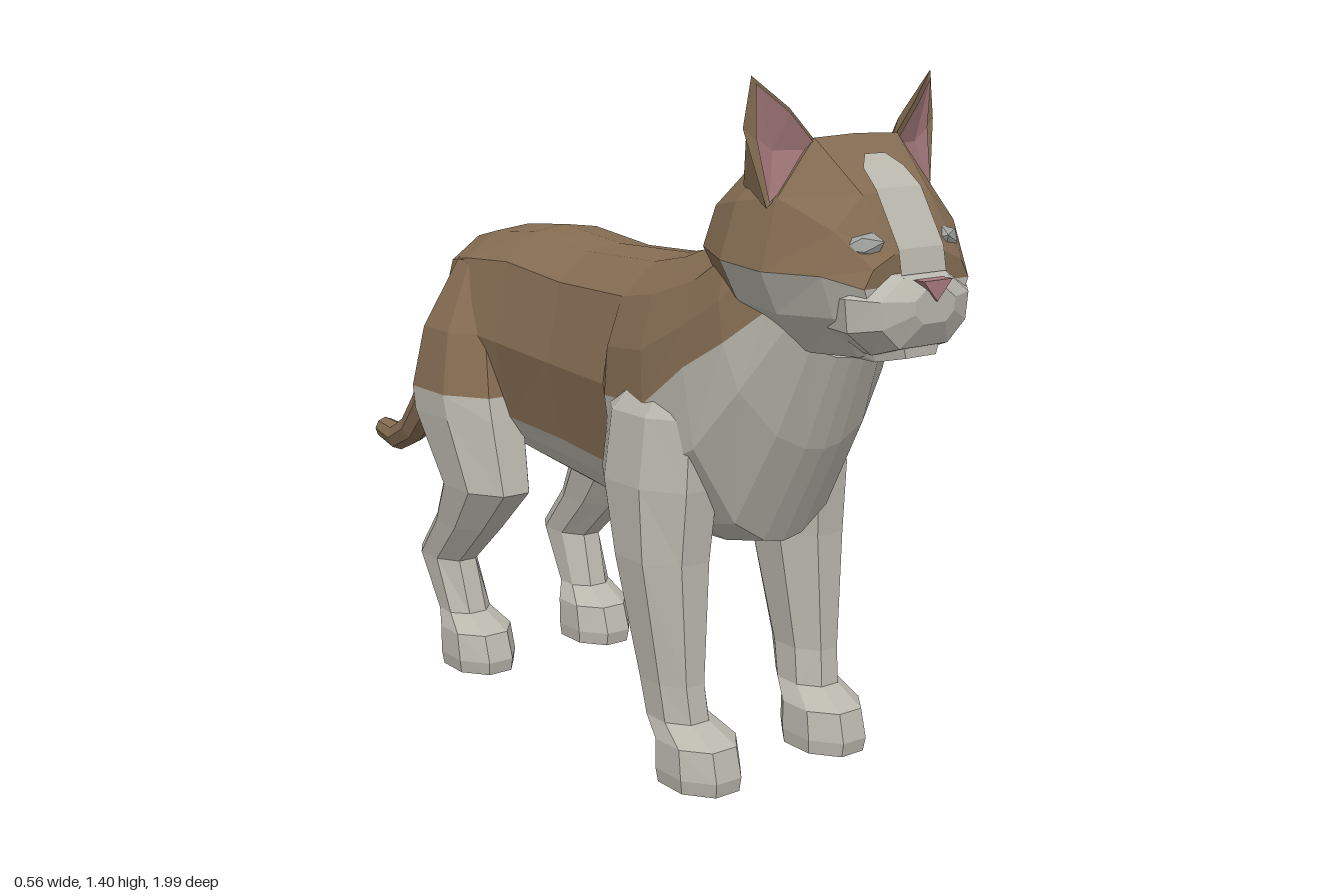
import * as THREE from 'three';

const paint = (name, color) => {
  const m = new THREE.MeshStandardMaterial({ color });
  m.name = name;
  return m;
};
const V = (x, y, z) => new THREE.Vector3(x, y, z);

// Flat-shaded mesh from a list of [a, b, c] triangles
function facetMesh(name, tris, material) {
  const g = new THREE.BufferGeometry().setFromPoints(tris.flat());
  g.computeVertexNormals();
  const mesh = new THREE.Mesh(g, material);
  mesh.name = name;
  return mesh;
}

// Turns a closed set of coloured triangles outward and makes one mesh per colour
function solid(name, faces) {
  const volume = faces.reduce((s, f) => s + f.t[0].dot(f.t[1].clone().cross(f.t[2])), 0);
  const group = new THREE.Group();
  group.name = name;
  for (const mat of new Set(faces.map(f => f.m))) {
    const tris = faces.filter(f => f.m === mat)
      .map(f => volume < 0 ? [f.t[0], f.t[2], f.t[1]] : f.t);
    group.add(facetMesh(name + ' ' + mat.name, tris, mat));
  }
  return group;
}

// Skins cross-sections and closes both ends; colour(i, j) picks each facet's material
function loft(name, rings, colour, k = Math.floor(rings[0].length / 4)) {
  const n = rings[0].length, faces = [];
  for (let i = 0; i < rings.length - 1; i++) for (let j = 0; j < n; j++) {
    const q = (j + 1) % n, m = colour(i, j);
    const [a, b, c, d] = [rings[i][j], rings[i][q], rings[i + 1][q], rings[i + 1][j]];
    faces.push({ t: [a, b, c], m }, { t: [a, c, d], m });
  }
  for (const e of [0, rings.length - 1]) {
    const r = rings[e], mid = r[k].clone().lerp(r[n - k], 0.5);
    for (let j = 0; j < n; j++) {
      const q = (j + 1) % n;
      faces.push({ t: e ? [mid, r[j], r[q]] : [mid, r[q], r[j]], m: colour(e ? e - 1 : 0, j) });
    }
  }
  return solid(name, faces);
}

// Completes a half outline that runs from the top centre to the bottom centre
const mirrorRing = half => [...half, ...half.slice(1, -1).reverse().map(p => V(-p.x, p.y, p.z))];

// Octagonal level section: [y, zFront, zBack, xInner, xOuter]
function legRing([y, z1, z0, x0, x1], side) {
  return Array.from({ length: 8 }, (_, j) => {
    const a = (j + 0.5) * Math.PI / 4, k = 1 / Math.cos(Math.PI / 8);
    return V(side * ((x0 + x1) / 2 + Math.cos(a) * k * (x1 - x0) / 2), y,
      (z0 + z1) / 2 + Math.sin(a) * k * (z1 - z0) / 2);
  });
}

export function createModel() {
  const brown = paint('brown fur', 0x846c52), white = paint('white fur', 0xbab7ad);
  const pink = paint('inner ear pink', 0x9e7476), nosePink = paint('nose pink', 0xa87a7c);
  const eyeGrey = paint('eye grey', 0x9fa29e);
  const cat = new THREE.Group();
  cat.name = 'cat';

  // Torso and neck: [topZ, topY, bottomZ, bottomY, halfWidth, colourLineY]
  const torso = [
    [-0.445, 0.93, -0.44, 0.56, 0.14, 0.62], [-0.38, 1.0, -0.38, 0.54, 0.19, 0.65],
    [-0.29, 1.022, -0.28, 0.52, 0.215, 0.655], [-0.14, 1.036, -0.1, 0.49, 0.205, 0.62],
    [0.06, 1.015, 0.1, 0.468, 0.2, 0.61], [0.295, 1.022, 0.3, 0.445, 0.215, 0.595],
    [0.3, 1.022, 0.305, 0.445, 0.215, 0.75], [0.41, 1.045, 0.5, 0.455, 0.235, 0.76],
    [0.53, 1.09, 0.61, 0.48, 0.222, 0.85], [0.6, 1.12, 0.72, 0.69, 0.205, 0.91],
    [0.65, 1.15, 0.79, 0.88, 0.17, 0.98],
  ].map(([tz, ty, bz, by, w, line]) => {
    const tb = 2 * (line - by) / (ty - by) - 1;
    return mirrorRing([1, 0.96, 0.74, (0.74 + tb) / 2, tb, (tb - 0.82) / 2, -0.82, -0.97, -1].map(t => {
      const p = t > 0 ? 2.6 : 1.9, u = (t + 1) / 2;
      const x = w * Math.pow(Math.max(0, 1 - Math.pow(Math.abs(t), p)), 1 / p);
      return V(x, by + (ty - by) * u, bz + (tz - bz) * u);
    }));
  });
  cat.add(loft('torso', torso, (i, j) => (j < 4 || j >= 12 ? brown : white), 4));

  // Legs with paws
  const front = [[0.8, 0.54, 0.34, 0.08, 0.21], [0.74, 0.56, 0.3, 0.08, 0.25], [0.6, 0.565, 0.29, 0.08, 0.265],
    [0.45, 0.555, 0.34, 0.095, 0.262], [0.2, 0.56, 0.405, 0.125, 0.234], [0.125, 0.57, 0.425, 0.12, 0.23],
    [0.09, 0.64, 0.46, 0.096, 0.242], [0.03, 0.655, 0.46, 0.093, 0.245], [0, 0.65, 0.465, 0.096, 0.24]];
  const hind = [[0.95, -0.24, -0.36, 0.08, 0.17], [0.8, -0.17, -0.42, 0.07, 0.25], [0.665, -0.125, -0.445, 0.07, 0.28],
    [0.61, -0.11, -0.44, 0.08, 0.278], [0.45, -0.075, -0.325, 0.1, 0.262], [0.345, -0.18, -0.375, 0.115, 0.245],
    [0.245, -0.29, -0.46, 0.125, 0.232], [0.125, -0.255, -0.37, 0.12, 0.228],
    [0.09, -0.185, -0.36, 0.096, 0.242], [0.03, -0.165, -0.36, 0.093, 0.245], [0, -0.17, -0.355, 0.096, 0.24]];
  for (const [s, label] of [[1, 'left'], [-1, 'right']]) {
    cat.add(loft(label + ' front leg', front.map(r => legRing(r, s)), () => white));
    cat.add(loft(label + ' hind leg', hind.map(r => legRing(r, s)), i => (i < 2 ? brown : white)));
  }

  // Tail: [z, y, radius] along a drooping curve that flicks up at the tip
  const path = [[-0.4, 0.9, 0.05], [-0.47, 0.88, 0.05], [-0.605, 0.775, 0.047], [-0.705, 0.59, 0.046],
    [-0.765, 0.505, 0.044], [-0.83, 0.435, 0.04], [-0.91, 0.395, 0.036], [-0.99, 0.405, 0.028]];
  cat.add(loft('tail', path.map(([z, y, r], i) => {
    const a = path[Math.max(0, i - 1)], b = path[Math.min(path.length - 1, i + 1)];
    const l = Math.hypot(b[0] - a[0], b[1] - a[1]), ny = -(b[0] - a[0]) / l, nz = (b[1] - a[1]) / l;
    return Array.from({ length: 8 }, (_, j) => {
      const t = j * Math.PI / 4;
      return V(Math.cos(t) * r, y + Math.sin(t) * r * ny, z + Math.sin(t) * r * nz);
    });
  }), () => brown));

  // Head: [z, topY, bottomY, halfWidth, widestY]
  const skull = [[0.53, 1.11, 1.02, 0.13, 1.07], [0.575, 1.215, 0.97, 0.185, 1.08], [0.68, 1.26, 0.92, 0.232, 1.07],
    [0.785, 1.295, 0.9, 0.225, 1.06], [0.89, 1.2, 0.905, 0.178, 1.06], [0.95, 1.1, 0.93, 0.13, 1.04]]
    .map(([z, t, b, w, m]) => mirrorRing([V(0, t, z), V(w * 0.46, t - 0.004, z),
      V(w * 0.84, m + (t - m) * 0.55, z), V(w, m, z), V(w * 0.82, m - (m - b) * 0.5, z),
      V(w * 0.45, b, z), V(0, b, z)]));
  cat.add(loft('head', skull, (i, j) => (i > 1 && j > 2 && j < 9 ? white : brown), 3));

  // Muzzle and chin
  const snout = [[0.85, 1.06, 0.92, 0.14], [0.925, 1.068, 0.915, 0.152], [0.97, 1.056, 0.93, 0.11],
    [0.995, 1.035, 0.975, 0.05]].map(([z, t, b, w]) => mirrorRing([V(0, t, z), V(w * 0.5, t, z),
    V(w, t - (t - b) * 0.3, z), V(w * 0.95, b + (t - b) * 0.3, z), V(w * 0.55, b, z), V(0, b, z)]));
  cat.add(loft('muzzle', snout, () => white, 2));
  const chin = [[0.78, 0.96, 0.905, 0.12], [0.92, 0.96, 0.9, 0.09], [0.965, 0.95, 0.91, 0.05]]
    .map(([z, t, b, w]) => [V(w, t, z), V(-w, t, z), V(-w * 0.75, b, z), V(w * 0.75, b, z)]);
  cat.add(loft('chin', chin, () => white));

  // Nose
  const tri = new THREE.Shape([[-0.036, 1.052], [0, 1.014], [0.036, 1.052]].map(p => new THREE.Vector2(...p)));
  const nose = new THREE.Mesh(new THREE.ExtrudeGeometry(tri, { depth: 0.04, bevelEnabled: false }), nosePink);
  nose.position.z = 0.96;
  nose.name = 'nose';
  cat.add(nose);

  // White blaze laid on the brow: [halfWidth, y, z]
  const blaze = [[0.025, 1.262, 0.833], [0.05, 1.24, 0.856], [0.056, 1.206, 0.895], [0.056, 1.105, 0.956],
    [0.056, 1.06, 0.965]];
  const strip = [];
  blaze.slice(1).forEach(([w, y, z], i) => {
    const [v, h, d] = blaze[i];
    const a = V(-w, y, z), b = V(w, y, z), c = V(v, h, d), e = V(-v, h, d);
    strip.push([a, b, c], [a, c, e]);
  });
  cat.add(facetMesh('forehead blaze', strip, white));

  for (const [s, label] of [[1, 'left'], [-1, 'right']]) {
    // Eye
    const eye = new THREE.Mesh(new THREE.IcosahedronGeometry(1, 0), eyeGrey);
    eye.scale.set(0.046, 0.024, 0.022);
    eye.position.set(s * 0.105, 1.11, 0.915);
    eye.rotation.set(-0.3, s * 0.6, 0);
    eye.name = label + ' eye';
    cat.add(eye);

    // Ear: hollowed front outline drawn to a ridge behind
    const rim = [V(0.085, 1.27, 0.785), V(0.155, 1.345, 0.775), V(0.222, 1.402, 0.748),
      V(0.237, 1.31, 0.745), V(0.205, 1.17, 0.775)].map(p => p.setX(p.x * s));
    const hollow = V(s * 0.178, 1.27, 0.75), back = V(s * 0.165, 1.2, 0.665), ridge = V(s * 0.19, 1.31, 0.7);
    const faces = [];
    const add = (a, b, c) => faces.push({ t: [a, b, c], m: brown });
    rim.forEach((p, i) => add(hollow, p, rim[(i + 1) % 5]));
    for (let i = 0; i < 4; i++) add(ridge, rim[i + 1], rim[i]);
    add(ridge, rim[0], back);
    add(ridge, back, rim[4]);
    add(back, rim[0], rim[4]);
    cat.add(solid(label + ' ear', faces));

    // Pink lining just in front of the hollow
    const lift = V(0, 0, 0.007), core = hollow.clone().add(lift);
    const edge = rim.map((p, i) => p.clone().lerp(hollow, i === 3 ? 0.4 : 0.1).add(lift));
    const lining = edge.map((p, i) => {
      const q = edge[(i + 1) % 5];
      return s > 0 ? [core, q, p] : [core, p, q];
    });
    cat.add(facetMesh(label + ' inner ear', lining, pink));
  }
  return cat;
}
